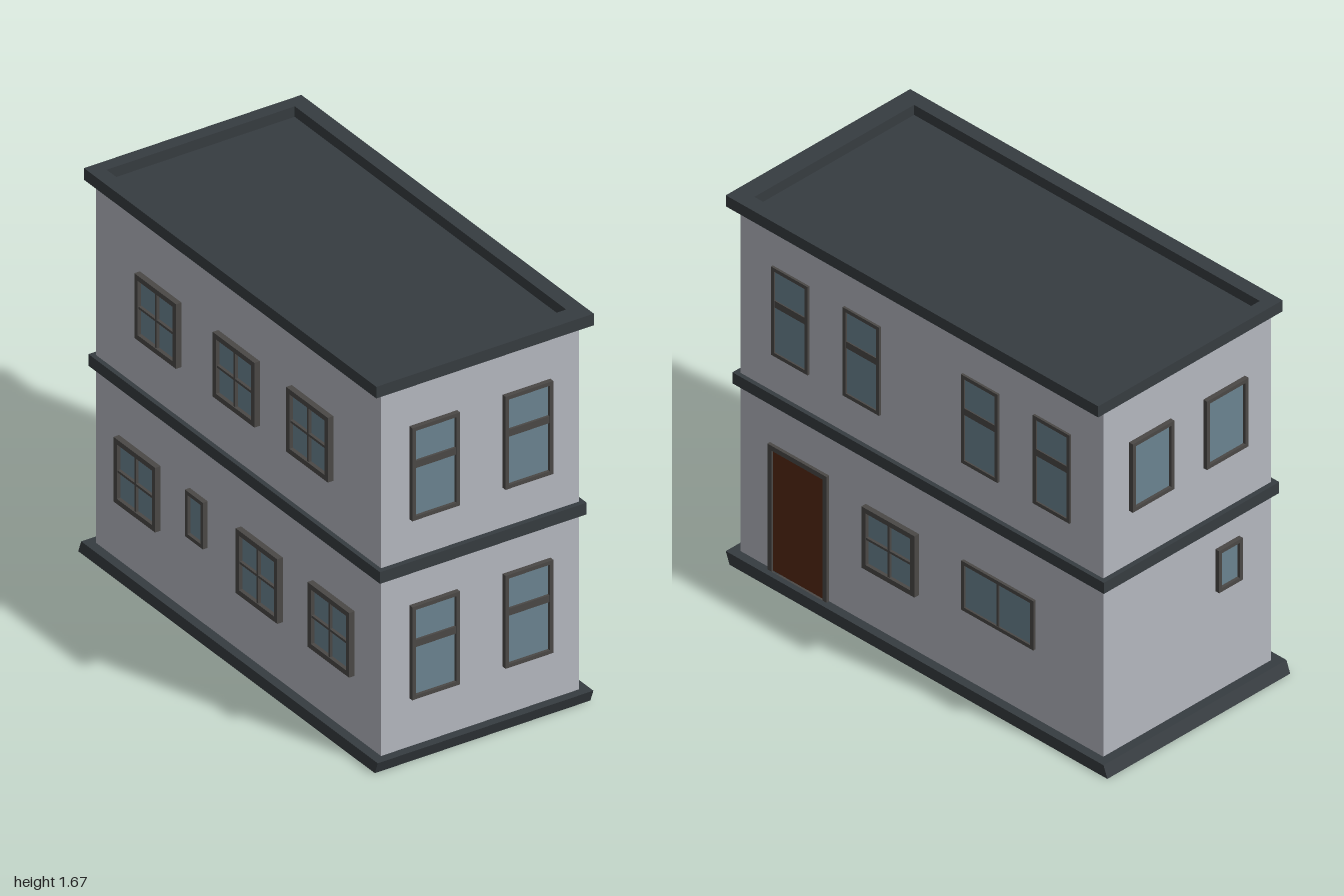
import * as THREE from 'three';

const mat = (color, side = THREE.FrontSide) =>
  new THREE.MeshStandardMaterial({ color, side, flatShading: true });

const wallMat = mat(0xb4b7bf, THREE.DoubleSide);
const trimMat = mat(0x363c40);
const roofMat = mat(0x363c40, THREE.DoubleSide);
const frameMat = mat(0x4a4846);
const glassMat = mat(0x6b8390);
const doorMat = mat(0x552814);

// Wall planes of the building
const W = { x0: -0.445, x1: 0.442, z0: -0.94, z1: 0.962, top: 1.63 };

function add(parent, name, geometry, material, x = 0, y = 0, z = 0) {
  const mesh = new THREE.Mesh(geometry, material);
  mesh.name = name;
  mesh.position.set(x, y, z);
  parent.add(mesh);
  return mesh;
}

// Closed loop of corners for a rectangle
function rect(Type, x0, x1, y0, y1) {
  return new Type().setFromPoints([[x0, y0], [x1, y0], [x1, y1], [x0, y1]]
    .map(([x, y]) => new THREE.Vector2(x, y)));
}

function ringGeometry(outer, inner, depth) {
  const shape = rect(THREE.Shape, ...outer);
  shape.holes.push(rect(THREE.Path, ...inner));
  return new THREE.ExtrudeGeometry(shape, { depth, bevelEnabled: false });
}

// Horizontal ring around the building; bounds are x0, x1, z0, z1
function band(parent, name, outer, inner, y0, y1) {
  const flip = ([x0, x1, z0, z1]) => [x0, x1, -z1, -z0];
  const geometry = ringGeometry(flip(outer), flip(inner), y1 - y0);
  geometry.rotateX(-Math.PI / 2);
  return add(parent, name, geometry, trimMat, 0, y0, 0);
}

// Each side: turn about y, and where a point (along the wall, height) lies
const sides = {
  front: { turn: 0, at: (u, y) => [u, y, W.z1] },
  right: { turn: Math.PI / 2, at: (u, y) => [W.x1, y, u] },
  back: { turn: Math.PI, at: (u, y) => [u, y, W.z0] },
  left: { turn: -Math.PI / 2, at: (u, y) => [W.x0, y, u] },
};

// Framed opening standing proud of a wall, with optional glazing bars
function opening(parent, name, side, [u0, u1, y0, y1], depth, opts = {}) {
  const { border = 0.016, across = 0, upright = 0, bar = 0.01, barAt = 0, fill = glassMat } = opts;
  const w = (u1 - u0) / 2, h = (y1 - y0) / 2;
  const group = new THREE.Group();
  group.name = name;
  group.position.set(...sides[side].at((u0 + u1) / 2, (y0 + y1) / 2));
  group.rotation.y = sides[side].turn;
  add(group, 'frame', ringGeometry([-w, w, -h, h],
    [-w + border, w - border, -h + border, h - border], depth), frameMat);
  const back = depth * 0.35;
  add(group, fill === glassMat ? 'glass' : 'doorPanel',
    new THREE.BoxGeometry(2 * (w - border), 2 * (h - border), back), fill, 0, 0, back / 2);
  const barDepth = depth * 0.85;
  if (across) add(group, 'crossBar',
    new THREE.BoxGeometry(2 * (w - border), bar, barDepth), frameMat, 0, barAt, barDepth / 2);
  if (upright) add(group, 'uprightBar',
    new THREE.BoxGeometry(bar, 2 * (h - border), barDepth), frameMat, 0, 0, barDepth / 2);
  parent.add(group);
}

export function createModel() {
  const house = new THREE.Group();
  house.name = 'house';

  // Thin hollow walls, open underneath
  const corners = [[W.x0, W.z1], [W.x1, W.z1], [W.x1, W.z0], [W.x0, W.z0]];
  corners.forEach(([ax, az], i) => {
    const [bx, bz] = corners[(i + 1) % 4];
    const wall = add(house, 'wall', new THREE.PlaneGeometry(Math.hypot(bx - ax, bz - az), W.top),
      wallMat, (ax + bx) / 2, W.top / 2, (az + bz) / 2);
    wall.rotation.y = i * Math.PI / 2;
  });

  // Flat roof sunk inside its rim
  const roof = add(house, 'roofDeck', new THREE.PlaneGeometry(W.x1 - W.x0, W.z1 - W.z0), roofMat,
    (W.x0 + W.x1) / 2, 1.625, (W.z0 + W.z1) / 2);
  roof.rotation.x = -Math.PI / 2;
  band(house, 'roofRim', [-0.488, 0.486, -0.957, 0.995], [-0.425, 0.418, -0.9, 0.912], 1.62, 1.67);

  // String course between the storeys and the plinth
  const wallRing = [W.x0, W.x1, W.z0, W.z1];
  band(house, 'stringCourse', [-0.465, 0.461, -0.962, 0.985], wallRing, 0.81, 0.86);
  const plinth = band(house, 'plinth', [-0.485, 0.481, -1, 0.98], wallRing, 0, 0.052);

  // Lean the outer ends of the plinth towards the front
  const p = plinth.geometry.attributes.position;
  for (let i = 0; i < p.count; i++) {
    if (p.getY(i) > 0.01 && Math.abs(p.getZ(i)) > 0.97) p.setZ(i, p.getZ(i) + 0.02);
  }
  plinth.geometry.computeVertexNormals();

  const sash = { across: 1, bar: 0.03, barAt: 0.037 };
  const cross = { across: 1, upright: 1, border: 0.022 };

  // Front and right sash windows
  for (const y of [0.26, 1.03]) {
    for (const u of [-0.318, 0.1]) {
      opening(house, 'frontWindow', 'front', [u, u + 0.214, y, y + 0.4], 0.02, sash);
    }
  }
  for (const u of [0.6, 0.225, -0.395, -0.772]) {
    opening(house, 'rightUpperWindow', 'right', [u, u + 0.192, 1.03, 1.43], 0.01, sash);
  }

  // Right side, ground floor
  opening(house, 'door', 'right', [0.497, 0.807, 0.03, 0.622], 0.014, { border: 0.022, fill: doorMat });
  opening(house, 'rightCrossWindow', 'right', [0.027, 0.305, 0.31, 0.588], 0.023, cross);
  opening(house, 'rightWideWindow', 'right', [-0.585, -0.207, 0.365, 0.588], 0.012, { upright: 1 });

  // Back windows
  for (const u of [-0.306, 0.086]) {
    opening(house, 'backUpperWindow', 'back', [u, u + 0.22, 1.1, 1.41], 0.02);
  }
  opening(house, 'backSmallWindow', 'back', [-0.275, -0.15, 0.51, 0.7], 0.02);

  // Left windows
  for (const u of [-0.648, -0.125, 0.366]) {
    opening(house, 'leftUpperWindow', 'left', [u, u + 0.278, 1.083, 1.361], 0.025, cross);
  }
  for (const u of [-0.787, 0.028, 0.508]) {
    opening(house, 'leftLowerWindow', 'left', [u, u + 0.278, 0.312, 0.59], 0.025, cross);
  }
  opening(house, 'leftSmallWindow', 'left', [-0.315, -0.195, 0.39, 0.59], 0.022);

  return house;
}
